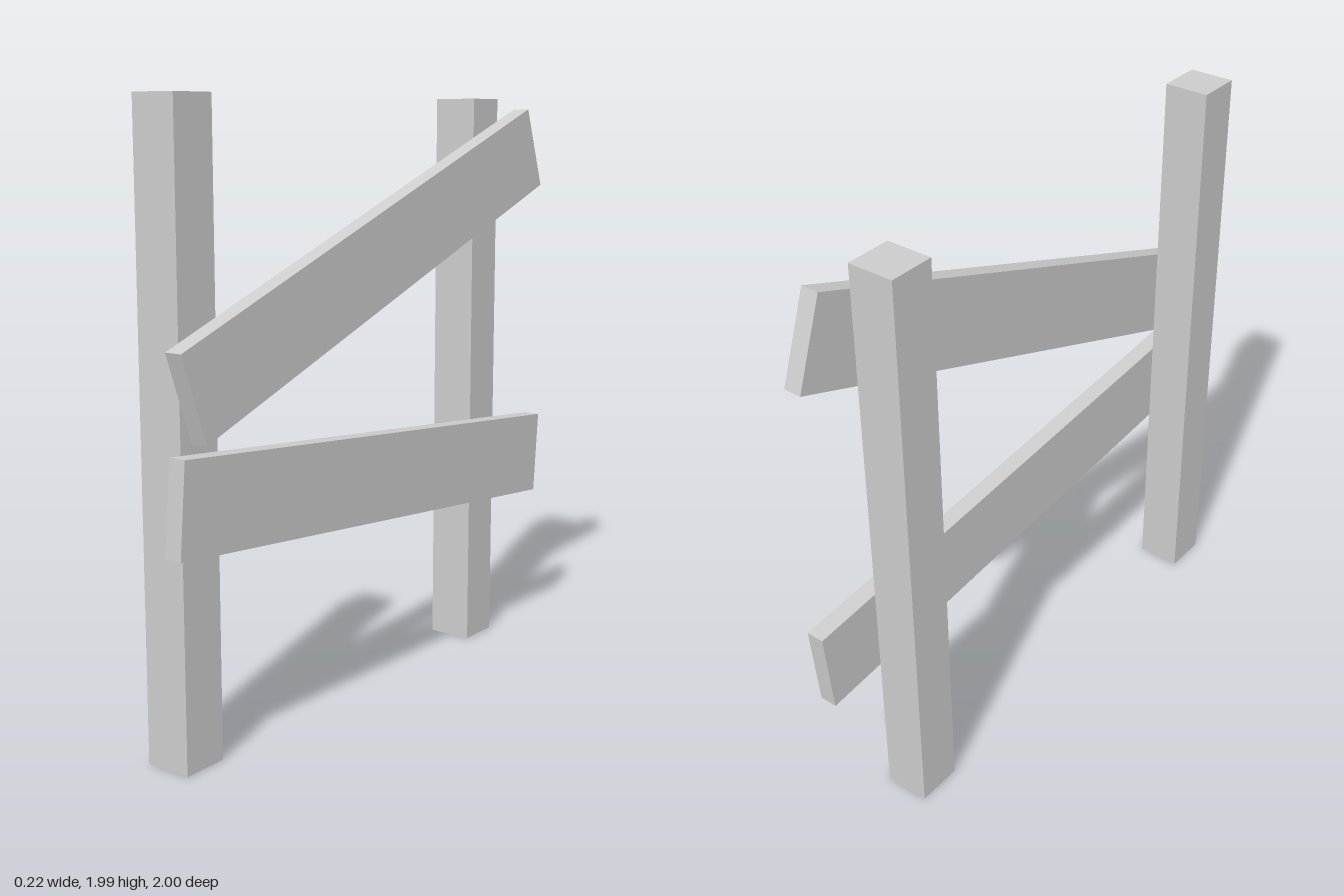
import * as THREE from 'three';

export function createModel() {
  const group = new THREE.Group();
  group.name = 'fenceSection';
  const material = new THREE.MeshStandardMaterial({ color: 0xcccccc, flatShading: true });

  const addBeam = (name, [w, h, d], [x, y, z], tilt = 0) => {
    const beam = new THREE.Mesh(new THREE.BoxGeometry(w, h, d), material);
    beam.name = name;
    beam.position.set(x, y, z);
    beam.rotation.x = tilt;
    group.add(beam);
  };

  // Square upright posts
  const post = [0.156, 1.985, 0.157];
  addBeam('frontPost', post, [-0.03, 0.9925, 0.848]);
  addBeam('backPost', post, [-0.03, 0.9925, -0.684]);

  // Crooked boards fixed to the left face of the posts
  const board = [0.06, 0.293, 1.98];
  addBeam('lowerBoard', board, [0.078, 0.742, 0], -0.0865);
  addBeam('upperBoard', board, [0.078, 1.4735, 0], 0.349);

  return group;
}
